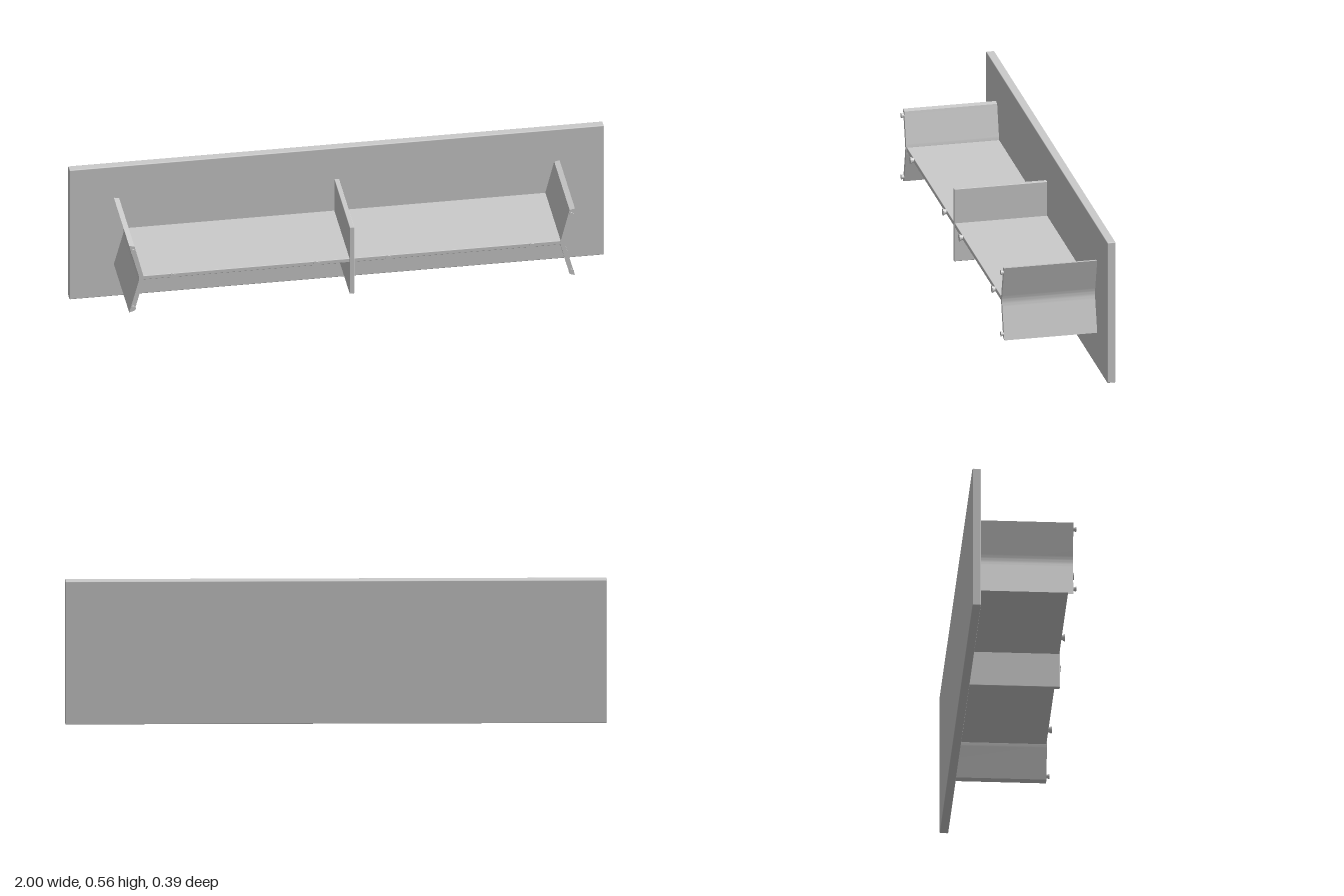
import * as THREE from 'three';
import { RoundedBoxGeometry } from 'three/addons/geometries/RoundedBoxGeometry.js';
import { toCreasedNormals } from 'three/addons/utils/BufferGeometryUtils.js';

const MID = 0.28;      // height of the long spine
const BACK = -0.166;   // plane where supports meet the panel
const FRONT = 0.187;   // free edge of the supports

export function createModel() {
  const group = new THREE.Group();
  const mat = new THREE.MeshStandardMaterial({ color: 0xcccccc });
  const add = (name, geo, x = 0, y = 0, z = 0) => {
    const mesh = new THREE.Mesh(geo, mat);
    mesh.name = name;
    mesh.position.set(x, y, z);
    group.add(mesh);
    return mesh;
  };
  const box = (name, w, h, z0, z1, x, y, r = 0.002) =>
    add(name, new RoundedBoxGeometry(w, h, z1 - z0, 2, r), x, y, (z0 + z1) / 2);

  // Broad flat panel
  box('panel', 2, 0.556, -0.197, -0.165, 0, 0.278, 0.003);

  // Central upright and the two spine boards
  box('centreSupport', 0.018, 0.286, BACK, FRONT, 0, MID);
  for (const s of [-1, 1]) box('spine', 0.78, 0.016, BACK, 0.185, s * 0.396, MID);

  // End support: V section with a softly rounded bend, extruded in depth
  const section = new THREE.Shape();
  section.moveTo(0.814, 0.143);
  section.lineTo(0.784, 0.258);
  section.quadraticCurveTo(0.777, MID, 0.784, 0.302);
  section.lineTo(0.814, 0.419);
  section.lineTo(0.834, 0.423);
  section.lineTo(0.801, 0.302);
  section.quadraticCurveTo(0.794, MID, 0.801, 0.258);
  section.lineTo(0.834, 0.137);
  section.closePath();
  const endGeo = toCreasedNormals(
    new THREE.ExtrudeGeometry(section, { depth: FRONT - BACK, bevelEnabled: false, curveSegments: 8 }), 0.6);
  add('leftEndSupport', endGeo, 0, 0, BACK);
  // Half turn keeps the faces outward while mirroring the symmetric V
  add('rightEndSupport', endGeo, 0, 0, FRONT).rotation.y = Math.PI;

  // Small flared glides, wider at the free end
  const glide = (name, x, y, r) => {
    const profile = [[0, -0.009], [r * 0.65, -0.009], [r * 0.7, -0.003], [r, 0.005], [r, 0.007], [0, 0.007]]
      .map(([a, b]) => new THREE.Vector2(a, b));
    const geo = toCreasedNormals(new THREE.LatheGeometry(profile, 24), 0.6);
    geo.rotateX(Math.PI / 2);
    add(name, geo, x, y, 0.191);
  };
  for (const s of [-1, 1]) {
    for (const x of [0.135, 0.672]) glide('spineGlide', s * x, MID, 0.0135);
    for (const y of [0.402, 0.159]) glide('endGlide', s * 0.82, y, 0.0095);
  }
  return group;
}
